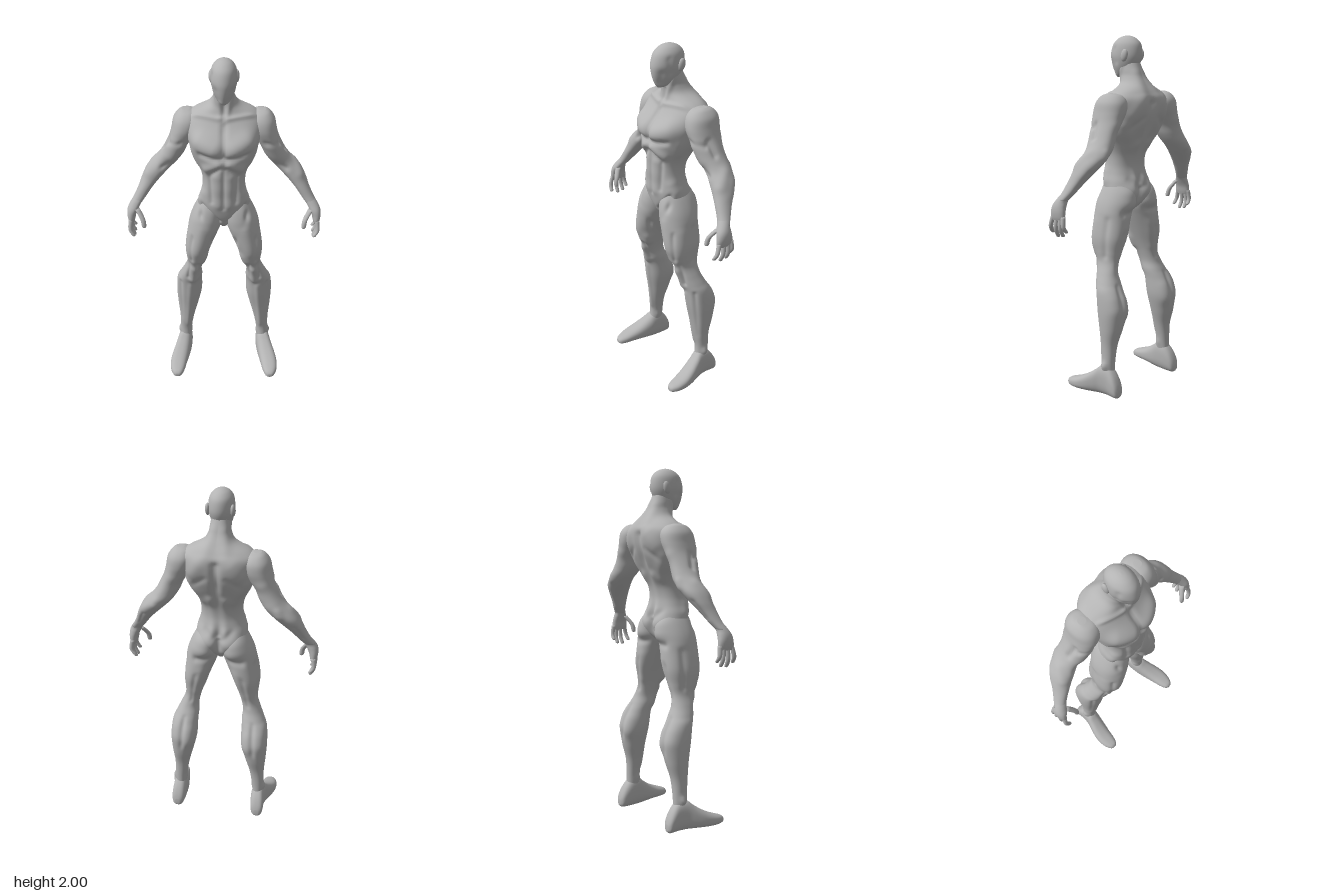
import * as THREE from 'three';

const skin = new THREE.MeshStandardMaterial({ color: 0xb4b4b4 });
skin.name = 'grey clay';

// Smooth interpolation of one column of a section table
function spline(rows, k, t) {
  const n = rows.length - 1, i = Math.min(Math.floor(t), n - 1), f = t - i;
  const p = (j) => rows[Math.max(0, Math.min(n, j))][k];
  const a = p(i - 1), b = p(i), c = p(i + 1), d = p(i + 2);
  return b + 0.5 * f * (c - a + f * (2 * a - 5 * b + 4 * c - d + f * (3 * (b - c) + d - a)));
}

// Closed loft. Rows: [level, xMin, xMax, front, back]; levels run up y (or back along z).
function loft(rows, { sides = 48, steps = 5, power = 2.2, alongZ = false } = {}) {
  const pos = [], index = [], count = (rows.length - 1) * steps;
  const put = (x, level, v) => (alongZ ? pos.push(x, v, level) : pos.push(x, level, v));
  for (let i = 0; i <= count; i++) {
    const [y, x0, x1, v1, v0] = [0, 1, 2, 3, 4].map((k) => spline(rows, k, i / steps));
    for (let j = 0; j < sides; j++) {
      const a = (j / sides) * Math.PI * 2, c = Math.cos(a), s = Math.sin(a);
      const round = (w) => Math.sign(w) * Math.abs(w) ** (2 / power);
      put((x0 + x1) / 2 + ((x1 - x0) / 2) * round(c), y, (v0 + v1) / 2 + ((v1 - v0) / 2) * round(s));
      if (i < count) {
        const p = i * sides + j, q = i * sides + ((j + 1) % sides);
        index.push(p, p + sides, q, q, p + sides, q + sides);
      }
    }
  }
  // End caps
  const first = rows[0], last = rows[rows.length - 1], base = count * sides, pole = (count + 1) * sides;
  for (const r of [first, last]) put((r[1] + r[2]) / 2, r[0], (r[3] + r[4]) / 2);
  for (let j = 0; j < sides; j++) {
    const q = (j + 1) % sides;
    index.push(pole, j, q, pole + 1, base + q, base + j);
  }
  const g = new THREE.BufferGeometry();
  g.setAttribute('position', new THREE.Float32BufferAttribute(pos, 3));
  g.setIndex(index);
  g.computeVertexNormals();
  return g;
}

// Raise muscles or cut grooves along segments: [ax,ay,az, bx,by,bz, radius, height]
function sculpt(g, strokes) {
  const P = g.attributes.position, N = g.attributes.normal;
  const v = new THREE.Vector3(), n = new THREE.Vector3(), near = new THREE.Vector3();
  const lines = strokes.map((s) => ({
    line: new THREE.Line3(new THREE.Vector3(s[0], s[1], s[2]), new THREE.Vector3(s[3], s[4], s[5])), r: s[6], h: s[7],
  }));
  for (let i = 0; i < P.count; i++) {
    v.fromBufferAttribute(P, i);
    n.fromBufferAttribute(N, i);
    const m = v.clone().setX(Math.abs(v.x));
    let d = 0;
    for (const { line, r, h } of lines) {
      line.closestPointToPoint(m, true, near);
      d += h * Math.exp(-near.distanceToSquared(m) / (r * r));
    }
    v.addScaledVector(n, d);
    P.setXYZ(i, v.x, v.y, v.z);
  }
  g.computeVertexNormals();
  return g;
}

function mirrored(g) {
  const m = g.clone().scale(-1, 1, 1), ix = m.index.array;
  for (let i = 0; i < ix.length; i += 3) [ix[i], ix[i + 1]] = [ix[i + 1], ix[i]];
  m.computeVertexNormals();
  return m;
}

export function createModel() {
  const model = new THREE.Group();
  model.name = 'muscularFigure';
  const add = (g, name) => {
    const mesh = new THREE.Mesh(g, skin);
    mesh.name = name;
    model.add(mesh);
  };
  const addPair = (g, name) => {
    add(g, name + 'Left');
    add(mirrored(g), name + 'Right');
  };

  // Torso and neck: height, half width, front, back
  const torsoRows = [
    [1.03, 0.02, 0.05, -0.03], [1.06, 0.05, 0.075, -0.06], [1.1, 0.1, 0.095, -0.085], [1.15, 0.142, 0.108, -0.1],
    [1.2, 0.14, 0.115, -0.095], [1.25, 0.125, 0.115, -0.08], [1.3, 0.117, 0.118, -0.075], [1.36, 0.12, 0.118, -0.085],
    [1.42, 0.14, 0.122, -0.11], [1.48, 0.17, 0.132, -0.145], [1.54, 0.19, 0.132, -0.172], [1.6, 0.205, 0.105, -0.185],
    [1.66, 0.205, 0.062, -0.182], [1.7, 0.165, 0.035, -0.162], [1.74, 0.088, 0.025, -0.135], [1.78, 0.06, 0.03, -0.108],
    [1.82, 0.053, 0.04, -0.09], [1.87, 0.045, 0.04, -0.07],
  ].map(([y, w, f, b]) => [y, -w, w, f, b]);
  const torso = loft(torsoRows, { sides: 128, steps: 6, power: 2.25 });
  // Chest, ribs, abdomen and groin
  const front = [
    [0.06, 1.55, 0.13, 0.13, 1.58, 0.11, 0.055, 0.026], [0, 1.5, 0.14, 0, 1.66, 0.07, 0.014, -0.014],
    [0.02, 1.495, 0.14, 0.13, 1.51, 0.11, 0.016, -0.016], [0.03, 1.46, 0.13, 0.1, 1.42, 0.11, 0.026, 0.015],
    [0.02, 1.435, 0.125, 0.08, 1.385, 0.11, 0.014, -0.01], [0, 1.43, 0.12, 0, 1.18, 0.115, 0.01, -0.006],
    [0.035, 1.37, 0.12, 0.03, 1.2, 0.115, 0.025, 0.006], [0.075, 1.37, 0.1, 0.065, 1.22, 0.1, 0.014, -0.008],
    [0.11, 1.25, 0.06, 0.12, 1.21, 0.05, 0.035, 0.01], [0.135, 1.2, 0.08, 0.03, 1.08, 0.09, 0.014, -0.014],
    [0.02, 1.685, 0.045, 0.17, 1.695, 0, 0.013, 0.01], [0.015, 1.7, 0.03, 0.045, 1.84, 0, 0.015, 0.007],
    [0, 1.71, 0.03, 0, 1.76, 0.03, 0.015, -0.008], [0.15, 1.5, 0.04, 0.14, 1.44, 0.04, 0.03, 0.008],
  ];
  // Spine, shoulder blades, lats and buttocks
  const back = [
    [0, 1.2, -0.1, 0, 1.64, -0.19, 0.022, -0.02], [0.035, 1.2, -0.09, 0.04, 1.42, -0.11, 0.025, 0.01],
    [0.09, 1.64, -0.18, 0.13, 1.58, -0.17, 0.045, 0.014], [0.06, 1.56, -0.19, 0.14, 1.5, -0.14, 0.016, -0.01],
    [0.15, 1.52, -0.12, 0.09, 1.4, -0.1, 0.04, 0.012], [0.05, 1.68, -0.16, 0.04, 1.8, -0.1, 0.03, 0.006],
    [0.07, 1.13, -0.1, 0.075, 1.1, -0.09, 0.055, 0.024], [0, 1.05, -0.1, 0, 1.16, -0.11, 0.02, -0.03],
    [0.08, 1.22, -0.09, 0.03, 1.18, -0.1, 0.02, -0.008],
  ];
  add(sculpt(torso, [...front, ...back]), 'torso');

  // Head, with a soft centre ridge and cheek planes
  const headRows = [
    [1.776, 0.014, 0.072, 0.03], [1.79, 0.034, 0.086, -0.015], [1.82, 0.052, 0.099, -0.055], [1.86, 0.065, 0.107, -0.08],
    [1.9, 0.07, 0.107, -0.09], [1.95, 0.064, 0.092, -0.084], [1.98, 0.046, 0.064, -0.06], [1.995, 0.024, 0.034, -0.03],
    [2, 0.004, 0.006, -0.004],
  ].map(([y, w, f, b]) => [y, -w, w, f, b]);
  add(sculpt(loft(headRows, { sides: 64, power: 2 }), [
    [0.05, 1.85, 0.08, 0.04, 1.81, 0.08, 0.03, -0.008], [0.06, 1.93, 0.04, 0.06, 1.86, 0.03, 0.015, -0.005],
  ]), 'head');
  const ear = new THREE.SphereGeometry(1, 20, 14).scale(0.014, 0.034, 0.022);
  ear.rotateX(-0.25).translate(0.066, 1.895, -0.035);
  addPair(ear, 'ear');

  // Shoulder, upper arm and forearm
  const arm = loft([
    [1.16, 0.463, 0.527, 0.033, -0.028], [1.2, 0.432, 0.502, 0.02, -0.055], [1.25, 0.395, 0.477, 0.01, -0.088],
    [1.3, 0.35, 0.457, 0, -0.122], [1.35, 0.3, 0.43, -0.008, -0.148], [1.4, 0.252, 0.386, -0.012, -0.153],
    [1.45, 0.218, 0.347, 0, -0.145], [1.5, 0.196, 0.32, 0.012, -0.143], [1.55, 0.165, 0.297, 0.026, -0.152],
    [1.6, 0.14, 0.283, 0.033, -0.162], [1.65, 0.13, 0.272, 0.022, -0.158], [1.685, 0.15, 0.247, -0.008, -0.13],
    [1.698, 0.185, 0.225, -0.05, -0.09],
  ], { sides: 56, steps: 6 });
  addPair(sculpt(arm, [
    [0.24, 1.51, 0.01, 0.28, 1.43, 0, 0.035, 0.01], [0.25, 1.53, -0.15, 0.3, 1.44, -0.14, 0.035, 0.009],
    [0.3, 1.54, -0.04, 0.33, 1.47, -0.06, 0.016, -0.012], [0.22, 1.535, 0.03, 0.3, 1.52, -0.02, 0.014, -0.009],
    [0.39, 1.39, -0.08, 0.42, 1.33, -0.03, 0.03, 0.009], [0.33, 1.4, -0.15, 0.34, 1.375, -0.15, 0.02, 0.009],
    [0.3, 1.39, 0, 0.34, 1.37, -0.01, 0.018, -0.01], [0.42, 1.3, -0.12, 0.46, 1.22, -0.06, 0.014, -0.006],
  ]), 'arm');

  // Hand, fingers and thumb
  addPair(loft([
    [1.05, 0.507, 0.537, 0.058, -0.026], [1.07, 0.501, 0.543, 0.064, -0.032], [1.1, 0.494, 0.546, 0.062, -0.031],
    [1.13, 0.48, 0.542, 0.055, -0.027], [1.16, 0.464, 0.528, 0.038, -0.026], [1.2, 0.436, 0.5, 0.015, -0.05],
  ], { sides: 32 }), 'palm');
  const digit = (points, r, name) => {
    const rows = points.map(([x, y, z], i) => {
      const w = r * (i ? 0.8 + 0.1 * i : 0.25);
      return [y, x - w, x + w, z + w, z - w];
    });
    addPair(loft(rows, { sides: 14, steps: 4, power: 2 }), name);
  };
  [[0.05, 0.975, 0.022], [0.021, 0.957, 0.008], [-0.004, 0.962, -0.004], [-0.025, 0.985, -0.008]].forEach(([z, tip, spread], i) => {
    digit([
      [0.51, tip, z + spread], [0.512, tip + 0.008, z + spread], [0.529, (tip + 1.06) / 2, z + spread * 0.7], [0.523, 1.075, z],
    ], 0.012, 'finger' + (i + 1));
  });
  digit([[0.448, 1.035, 0.076], [0.449, 1.043, 0.075], [0.456, 1.085, 0.066], [0.487, 1.135, 0.035]], 0.014, 'thumb');

  // Thigh, knee and calf
  const leg = loft([
    [0.1, 0.212, 0.272, -0.02, -0.11], [0.2, 0.205, 0.274, -0.03, -0.112], [0.3, 0.187, 0.275, -0.018, -0.12],
    [0.4, 0.16, 0.284, -0.006, -0.147], [0.5, 0.137, 0.289, 0.01, -0.16], [0.6, 0.134, 0.282, 0.022, -0.128],
    [0.65, 0.131, 0.262, 0.036, -0.102], [0.7, 0.134, 0.238, 0.05, -0.08], [0.76, 0.121, 0.214, 0.072, -0.072],
    [0.82, 0.101, 0.216, 0.1, -0.08], [0.9, 0.07, 0.219, 0.118, -0.097], [1, 0.03, 0.205, 0.12, -0.1],
    [1.05, 0.012, 0.198, 0.118, -0.1], [1.1, 0.008, 0.183, 0.115, -0.098], [1.16, 0.012, 0.155, 0.1, -0.085],
    [1.22, 0.04, 0.12, 0.07, -0.05],
  ], { sides: 72, steps: 7 });
  // Thigh muscles, kneecap, shin
  const thigh = [
    [0.12, 1.04, 0.11, 0.15, 0.88, 0.12, 0.03, 0.006], [0.2, 0.98, 0.06, 0.2, 0.86, 0.07, 0.04, 0.006],
    [0.115, 0.84, 0.07, 0.125, 0.8, 0.065, 0.03, 0.012], [0.18, 0.98, 0.1, 0.185, 0.82, 0.09, 0.012, -0.008],
    [0.14, 1.16, 0.1, 0.06, 0.92, 0.08, 0.016, -0.012], [0.17, 0.73, 0.07, 0.18, 0.63, 0.04, 0.025, 0.016],
    [0.145, 0.78, 0.08, 0.145, 0.66, 0.04, 0.014, -0.01], [0.21, 0.78, 0.07, 0.21, 0.66, 0.04, 0.014, -0.01],
    [0.21, 1.0, -0.03, 0.21, 0.8, -0.02, 0.02, -0.008],
  ];
  // Buttock, hamstrings, calf heads, ankle bones
  const rear = [
    [0.075, 1.13, -0.1, 0.08, 1.1, -0.1, 0.055, 0.024], [0.03, 1.04, -0.1, 0.13, 1.035, -0.1, 0.022, -0.012],
    [0.1, 0.95, -0.09, 0.13, 0.8, -0.08, 0.03, 0.006], [0.135, 0.92, -0.1, 0.165, 0.74, -0.08, 0.014, -0.007],
    [0.17, 0.56, -0.14, 0.175, 0.49, -0.15, 0.04, 0.009], [0.25, 0.57, -0.13, 0.25, 0.52, -0.14, 0.04, 0.007],
    [0.205, 0.64, -0.12, 0.215, 0.44, -0.17, 0.014, -0.01], [0.26, 0.6, 0, 0.25, 0.3, -0.04, 0.014, -0.008],
    [0.2, 0.58, 0.02, 0.225, 0.25, -0.02, 0.015, 0.007], [0.275, 0.18, -0.07, 0.275, 0.17, -0.07, 0.02, 0.014],
    [0.205, 0.18, -0.06, 0.205, 0.17, -0.06, 0.018, 0.006],
  ];
  addPair(sculpt(leg, [...thigh, ...rear]), 'leg');

  // Foot, from toe to heel
  addPair(loft([
    [0.198, 0.274, 0.3, 0.03, 0.01], [0.185, 0.259, 0.315, 0.044, 0.003], [0.15, 0.245, 0.33, 0.058, 0],
    [0.1, 0.234, 0.334, 0.078, 0], [0.05, 0.222, 0.325, 0.105, 0], [0, 0.211, 0.308, 0.14, 0],
    [-0.04, 0.205, 0.294, 0.172, 0], [-0.09, 0.204, 0.286, 0.17, 0], [-0.13, 0.208, 0.286, 0.13, 0],
    [-0.155, 0.217, 0.28, 0.085, 0.002], [-0.166, 0.235, 0.263, 0.05, 0.015],
  ], { sides: 48, steps: 4, power: 2.5, alongZ: true }), 'foot');

  return model;
}
